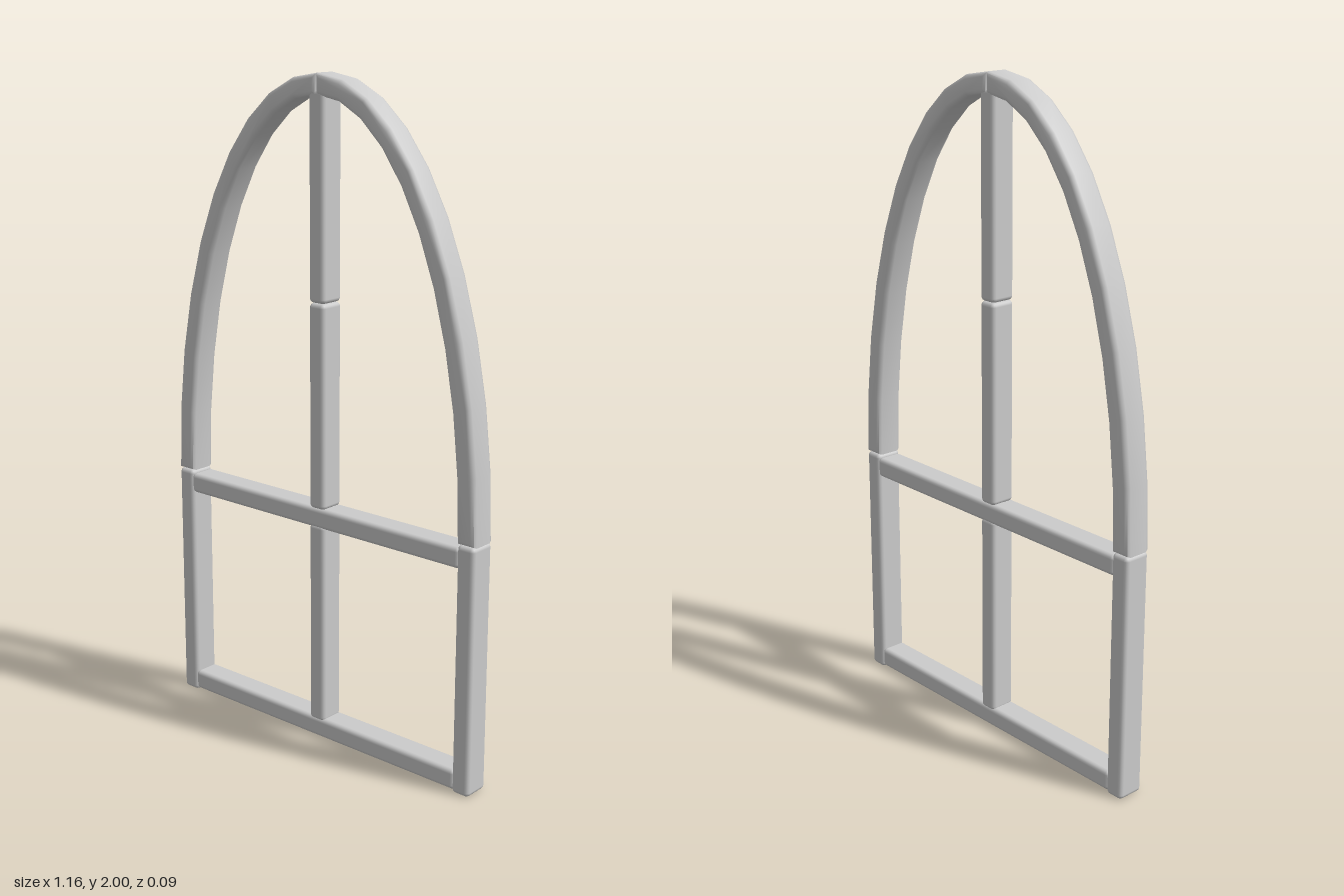
import * as THREE from 'three';
import { RoundedBoxGeometry } from 'three/addons/geometries/RoundedBoxGeometry.js';
import { toCreasedNormals } from 'three/addons/utils/BufferGeometryUtils.js';

const DEPTH = 0.086, EDGE = 0.013, SPRING = 0.752;

export function createModel() {
  const group = new THREE.Group();
  const material = new THREE.MeshStandardMaterial({ color: 0xcccccc });

  const add = (name, geometry) => {
    const mesh = new THREE.Mesh(geometry, material);
    mesh.name = name;
    group.add(mesh);
    return mesh;
  };

  // Straight bar with softened edges, given by its extents
  const bar = (name, x0, x1, y0, y1, depth = DEPTH) => {
    const mesh = add(name, new RoundedBoxGeometry(x1 - x0, y1 - y0, depth, 2, EDGE));
    mesh.position.set((x0 + x1) / 2, (y0 + y1) / 2, 0);
  };

  // One half of the pointed arch: the band between two quarter ellipses
  const halfArch = (name, side) => {
    const steps = 10;
    const quarter = (a, b) => Array.from({ length: steps + 1 }, (_, i) => {
      const t = (i / steps) * Math.PI / 2;
      return new THREE.Vector2(side * a * Math.cos(t), SPRING + b * Math.sin(t));
    });
    const shape = new THREE.Shape([...quarter(0.578, 1.248), ...quarter(0.516, 1.188).reverse()]);
    const geometry = new THREE.ExtrudeGeometry(shape, {
      depth: DEPTH - 2 * EDGE,
      bevelThickness: EDGE, bevelSize: EDGE, bevelOffset: -EDGE, bevelSegments: 2,
    });
    geometry.translate(0, 0, EDGE - DEPTH / 2);
    add(name, toCreasedNormals(geometry, 0.9));
  };

  // Outer frame
  for (const [label, side] of [['left', 1], ['right', -1]]) {
    const xs = [side * 0.518, side * 0.577].sort((a, b) => a - b);
    bar(label + 'Jamb', ...xs, 0, SPRING);
    halfArch(label + 'Arch', side);
  }

  // Horizontal rails
  bar('bottomRail', -0.525, 0.525, 0.006, 0.068, 0.082);
  bar('middleRail', -0.525, 0.525, 0.68, 0.742, 0.082);

  // Central mullion in three stacked pieces
  bar('lowerMullion', -0.029, 0.029, 0.058, 0.69, 0.08);
  bar('middleMullion', -0.029, 0.029, 0.738, 1.355, 0.08);
  bar('upperMullion', -0.029, 0.029, 1.355, 1.955, 0.08);

  return group;
}
